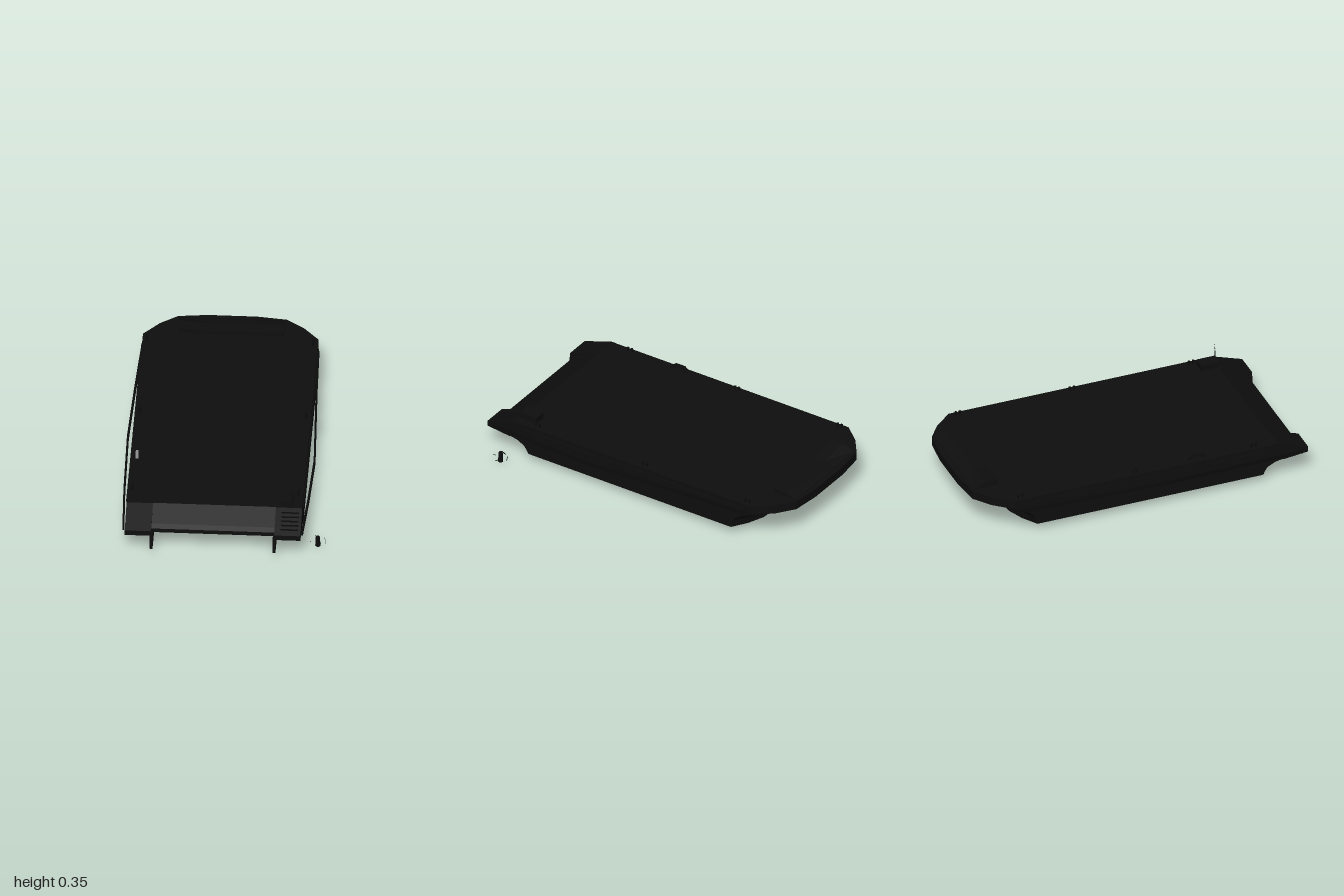
import * as THREE from 'three';

const CX = -0.05; // hull centreline

export function createModel() {
  const group = new THREE.Group();
  const mat = (name, color, side = THREE.FrontSide) => {
    const m = new THREE.MeshStandardMaterial({ color, side });
    m.name = name;
    return m;
  };
  const hullBlack = mat('hull black', 0x0e0e0e);
  const fittingBlack = mat('fitting black', 0x0b0b0b, THREE.DoubleSide);

  const add = (name, geo, material, x = 0, y = 0, z = 0, parent = group) => {
    const m = new THREE.Mesh(geo, material);
    m.name = name;
    m.position.set(x, y, z);
    parent.add(m);
    return m;
  };
  // side profile of [z, y] points, extruded from x0 to x1
  const sideProfile = (pts, x0, x1, holes = []) => {
    const flip = (list) => list.map(([z, y]) => new THREE.Vector2(-z, y));
    const shape = new THREE.Shape(flip(pts));
    holes.forEach((h) => shape.holes.push(new THREE.Path(flip(h))));
    const g = new THREE.ExtrudeGeometry(shape, { depth: x1 - x0, bevelEnabled: false });
    return g.rotateY(Math.PI / 2).translate(x0, 0, 0);
  };

  add('hull', hullGeometry(), hullBlack);

  // stern: sloping corner pads, thin skegs below them
  for (const s of [-1, 1]) {
    const inner = CX + s * 0.35, outer = CX + s * 0.5;
    const x0 = Math.min(inner, outer), x1 = Math.max(inner, outer);
    add('sternCorner', sideProfile(
      [[0.78, 0.236], [0.815, 0.236], [1, 0.174], [1, 0.142], [0.85, 0.125], [0.78, 0.15]], x0, x1), hullBlack);
    add('skeg', sideProfile([[0.7, 0.05], [1, 0.05], [1, 0.15], [0.7, 0.15]],
      inner - 0.008, inner + 0.008), hullBlack);
    // side strake
    add('strake', new THREE.BoxGeometry(0.008, 0.012, 1.5), hullBlack, CX + s * 0.502, 0.2, 0);
  }

  // bowed rubbing rails standing off the sides
  const rail = (pts) => {
    const g = new THREE.Group();
    g.name = 'rubbingRail';
    for (let i = 0; i < pts.length - 1; i++) {
      const a = new THREE.Vector3(...pts[i]), b = new THREE.Vector3(...pts[i + 1]);
      const m = add('railSegment', new THREE.BoxGeometry(0.011, 0.025, a.distanceTo(b) + 0.004), fittingBlack, 0, 0, 0, g);
      m.position.copy(a).add(b).multiplyScalar(0.5);
      m.lookAt(b);
    }
    group.add(g);
  };
  rail([[-0.552, 0.163, -0.78], [-0.57, 0.163, -0.35], [-0.584, 0.163, 0.1], [-0.575, 0.163, 0.6], [-0.56, 0.16, 0.96]]);
  rail([[0.452, 0.18, -0.75], [0.462, 0.176, -0.4], [0.489, 0.163, 0.27], [0.475, 0.165, 0.65], [0.457, 0.165, 0.96]]);

  // breakwater wedge on the bow, sinking into the deck toward the tip
  const crest = new THREE.Shape([[-0.35, 0.232], [0.25, 0.232], [0.25, 0.26], [-0.16, 0.253], [-0.35, 0.27]]
    .map((p) => new THREE.Vector2(...p)));
  const wedge = new THREE.ExtrudeGeometry(crest, { depth: 0.15, steps: 2, bevelEnabled: false });
  wedge.translate(0, 0, -0.97);
  const wp = wedge.attributes.position;
  for (let i = 0; i < wp.count; i++) if (wp.getZ(i) < -0.96) wp.setY(i, Math.min(wp.getY(i), 0.238));
  wedge.computeVertexNormals();
  add('breakwater', wedge, hullBlack);

  // control box with two kinked aerials
  add('controlBox', new THREE.BoxGeometry(0.072, 0.04, 0.11), hullBlack, 0.364, 0.252, 0.755);
  for (const dx of [0, 0.01]) {
    const path = new THREE.CurvePath();
    const pts = [[0, 0.235], [0, 0.305], [0.007, 0.325], [0, 0.335 + dx * 1.8]]
      .map(([x, y]) => new THREE.Vector3(0.382 + dx + x, y, 0.808));
    for (let i = 0; i < 3; i++) path.add(new THREE.LineCurve3(pts[i], pts[i + 1]));
    add('aerial', new THREE.TubeGeometry(path, 12, 0.001, 5), fittingBlack);
  }

  // ladder rungs on the right-hand stern slope
  for (let i = 0; i < 5; i++)
    add('rung', new THREE.BoxGeometry(0.1, 0.005, 0.008), fittingBlack, 0.385, 0.226 - i * 0.0094, 0.85 + i * 0.028);

  // paired mooring bollards along both edges
  for (const x of [-0.525, 0.422])
    for (const z of [0.675, -0.055, -0.755])
      for (const dz of [-0.013, 0.013]) {
        add('bollard', new THREE.CylinderGeometry(0.006, 0.006, 0.022, 10), fittingBlack, x, 0.244, z + dz);
        add('bollardCap', new THREE.CylinderGeometry(0.008, 0.008, 0.005, 10), fittingBlack, x, 0.254, z + dz);
      }

  // open trapezoid guard frame
  add('guardFrame', sideProfile([[0.395, 0.233], [0.36, 0.27], [0.295, 0.27], [0.26, 0.233]], -0.524, -0.508,
    [[[0.363, 0.236], [0.345, 0.257], [0.31, 0.257], [0.292, 0.236]]]), hullBlack);

  // round-nosed tank under the hull
  const tank = [[0, 0]];
  tank.push([0.028, 0]);
  for (let i = 0; i <= 6; i++) {
    const a = (i / 6) * Math.PI / 2;
    tank.push([0.028 * Math.cos(a), 0.28 + 0.05 * Math.sin(a)]);
  }
  const tankGeo = new THREE.LatheGeometry(tank.map((p) => new THREE.Vector2(Math.max(p[0], 0), p[1])), 24);
  add('keelTank', tankGeo.rotateX(-Math.PI / 2), hullBlack, -0.475, 0.035, 0.75);

  // propeller on an upright hub
  const prop = new THREE.Group();
  prop.name = 'propeller';
  prop.position.set(0.541, 0.034, 0.85);
  add('hub', new THREE.CylinderGeometry(0.012, 0.015, 0.06, 16), fittingBlack, 0, 0, 0, prop);
  const sector = new THREE.Shape();
  sector.moveTo(0.006, 0);
  sector.absarc(0, 0, 0.044, -0.42, 0.42, false);
  sector.closePath();
  for (let i = 0; i < 4; i++) {
    const blade = new THREE.ExtrudeGeometry(sector, { depth: 0.003, bevelEnabled: false, curveSegments: 6 });
    blade.rotateX(-Math.PI / 2 + 0.6);
    const m = add('blade', blade, fittingBlack, 0, 0, 0, prop);
    m.rotation.y = 0.15 + i * Math.PI / 2;
  }
  group.add(prop);
  return group;
}

// Hull lofted from horizontal outlines: [y, bow tip z, bow corner z, stern z]
function hullGeometry() {
  const levels = [
    [0.05, -0.77, -0.66, 0.72], [0.095, -0.775, -0.67, 0.75], [0.12, -0.8, -0.69, 0.8],
    [0.135, -0.84, -0.71, 0.88], [0.143, -0.865, -0.72, 0.965], [0.168, -0.945, -0.77, 0.965],
    [0.182, -1, -0.8, 0.935], [0.235, -1, -0.8, 0.81],
  ];
  // bow plan: [x from centreline, setback from tip to corner]
  const half = [[0.5, 1], [0.41, 0.47], [0.31, 0.1], [0.14, 0]];
  const bow = [...half.map(([x, d]) => [-x, d]), ...half.slice().reverse()];
  const rings = levels.map(([y, tip, corner, stern]) => [
    ...bow.map(([x, d]) => [CX + x, y, tip + (corner - tip) * d]),
    [CX + 0.5, y, stern], [CX - 0.5, y, stern],
  ]);
  const pos = [];
  const tri = (...p) => p.forEach((v) => pos.push(...v));
  const n = rings[0].length, top = rings[rings.length - 1];
  for (let i = 0; i < n; i++) {
    const j = (i + 1) % n;
    for (let k = 0; k < rings.length - 1; k++) {
      const l = rings[k], u = rings[k + 1];
      tri(l[j], l[i], u[i]);
      tri(l[j], u[i], u[j]);
    }
    tri([CX, top[0][1], 0], top[j], top[i]);
    tri([CX, rings[0][0][1], 0], rings[0][i], rings[0][j]);
  }
  const g = new THREE.BufferGeometry();
  g.setAttribute('position', new THREE.Float32BufferAttribute(pos, 3));
  g.computeVertexNormals();
  return g;
}
